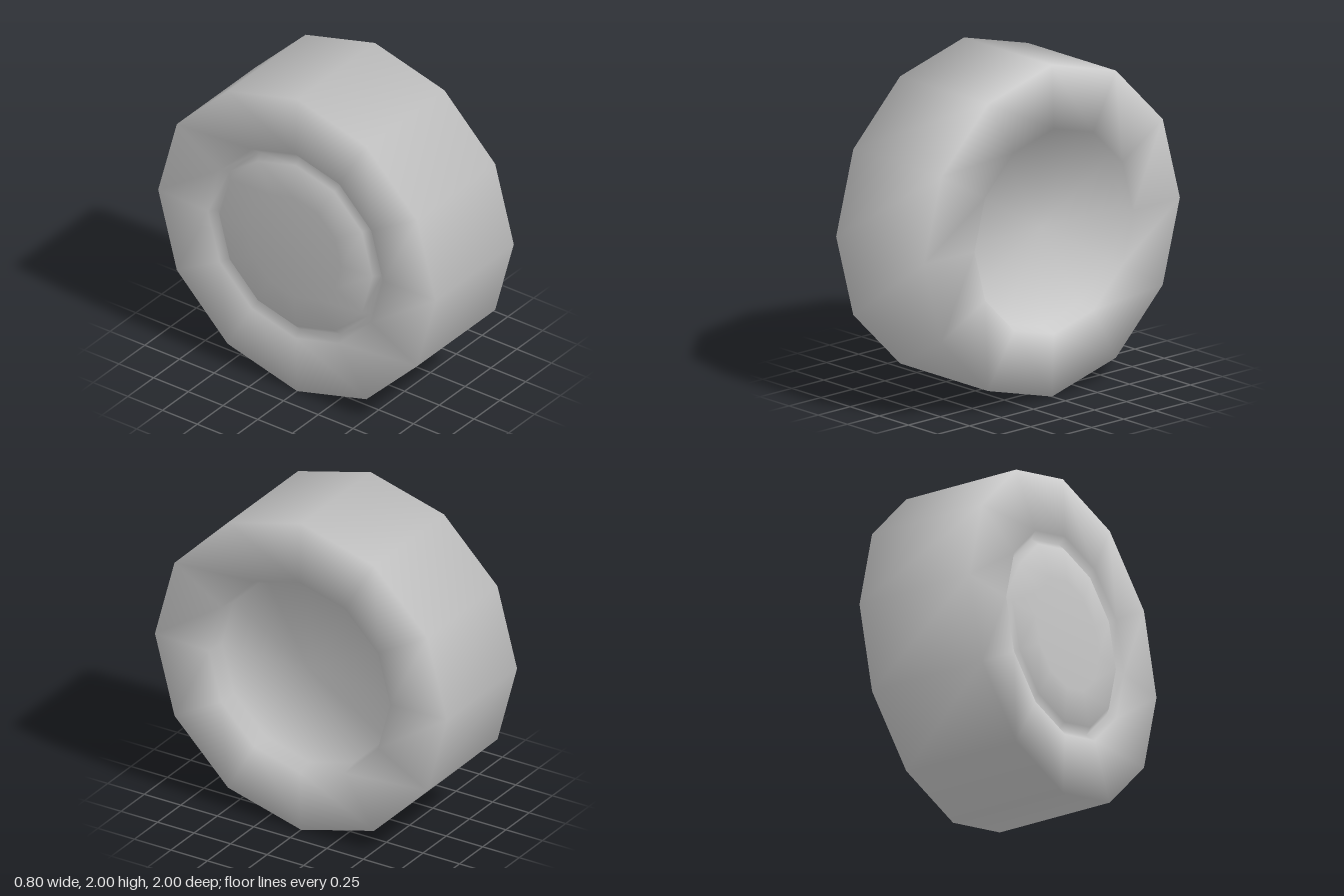
import * as THREE from 'three';

const SIDES = 12;

// Whole cross-section as [radius, x], from the raised cap to the dish floor
const PROFILE = [
  [0, -0.4], [0.34, -0.4], [0.55, -0.38], [0.59, -0.34], // raised cap
  [0.63, -0.385], [1, -0.37], [1, 0.385], [0.62, 0.4], // tyre
  [0.6, 0.29], [0, 0.29], // recessed dish
].map(([r, x]) => new THREE.Vector2(r, x));

// Outward direction of the profile at each point, averaged evenly over its two edges
const NORMALS = PROFILE.map((p, i) => {
  const normal = new THREE.Vector2();
  for (const k of [i - 1, i]) {
    if (k < 0 || k + 1 >= PROFILE.length) continue;
    const edge = PROFILE[k + 1].clone().sub(PROFILE[k]).normalize();
    normal.add(new THREE.Vector2(edge.y, -edge.x));
  }
  return normal.normalize();
});

// Spins a stretch of the profile around the x axis, smooth across its ends
function spin(name, first, last) {
  const geometry = new THREE.LatheGeometry(PROFILE.slice(first, last + 1), SIDES);
  const count = last - first + 1;
  for (let s = 0; s <= SIDES; s++) {
    const angle = (s / SIDES) * Math.PI * 2;
    for (let j = 0; j < count; j++) {
      const n = NORMALS[first + j];
      geometry.attributes.normal.setXYZ(s * count + j, n.x * Math.sin(angle), n.y, n.x * Math.cos(angle));
    }
  }
  geometry.rotateZ(-Math.PI / 2);
  const mesh = new THREE.Mesh(geometry, new THREE.MeshStandardMaterial({ color: 0xcccccc }));
  mesh.name = name;
  mesh.position.y = 1;
  return mesh;
}

export function createModel() {
  const wheel = new THREE.Group();
  wheel.name = 'wheel';
  wheel.add(spin('hubCap', 0, 3), spin('tyre', 3, 7), spin('hubDish', 7, 9));
  return wheel;
}
